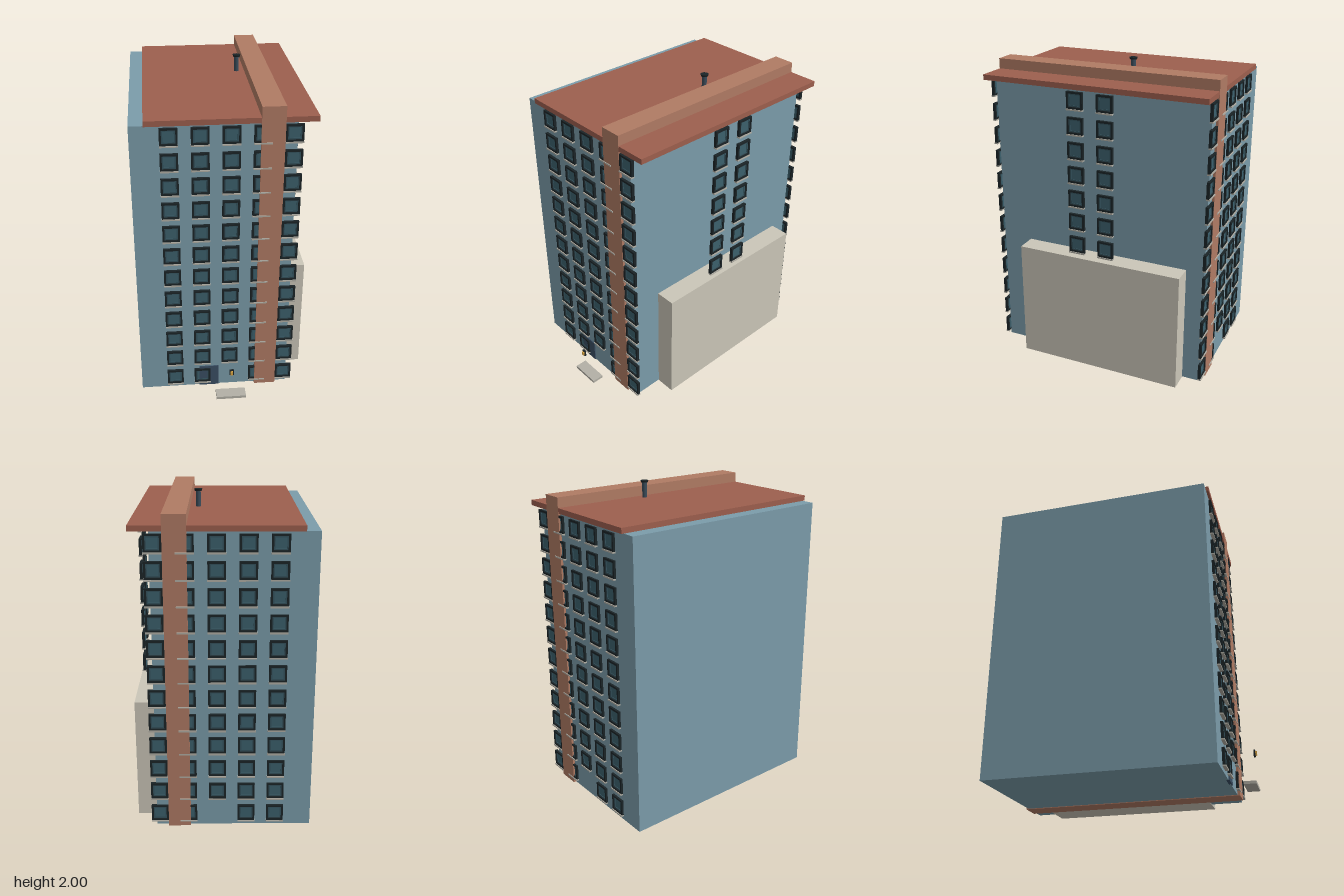
import * as THREE from 'three';

const mat = (color) => new THREE.MeshStandardMaterial({ color });
const M = {
  wall: mat(0x7b9caa), roof: mat(0x9d5f4e), band: mat(0xb07b64), annex: mat(0xcbc6b8),
  frame: mat(0x1b2427), sash: mat(0x35535e), glass: mat(0x3c616d), sill: mat(0xb3b0a6),
  door: mat(0x3a4e63), lamp: mat(0xd9a441), pipe: mat(0x3a4c5a),
};

// Box given by its two opposite corners
function box(name, material, [x0, y0, z0], [x1, y1, z1]) {
  const mesh = new THREE.Mesh(new THREE.BoxGeometry(x1 - x0, y1 - y0, z1 - z0), material);
  mesh.position.set((x0 + x1) / 2, (y0 + y1) / 2, (z0 + z1) / 2);
  mesh.name = name;
  return mesh;
}

// Rectangular ring with its back on z = 0
function ringGeometry(outer, inner, depth) {
  const rect = (T, s) => new T([[-s, -s], [s, -s], [s, s], [-s, s]].map((p) => new THREE.Vector2(...p)));
  const shape = rect(THREE.Shape, outer / 2);
  shape.holes.push(rect(THREE.Path, inner / 2));
  return new THREE.ExtrudeGeometry(shape, { depth, bevelEnabled: false });
}

const frameGeo = ringGeometry(0.104, 0.08, 0.018);
const sashGeo = ringGeometry(0.08, 0.064, 0.012);

// Window facing +z: frame, sash, pane and sill
function makeWindow() {
  const g = new THREE.Group();
  g.name = 'window';
  const frame = new THREE.Mesh(frameGeo, M.frame);
  frame.name = 'windowFrame';
  const sash = new THREE.Mesh(sashGeo, M.sash);
  sash.name = 'windowSash';
  g.add(frame, sash,
    box('windowPane', M.glass, [-0.033, -0.033, 0], [0.033, 0.033, 0.008]),
    box('windowSill', M.sill, [-0.053, -0.061, 0], [0.053, -0.052, 0.023]));
  return g;
}

export function createModel() {
  const model = new THREE.Group();
  model.name = 'apartmentBlock';

  // Main masses
  model.add(
    box('building', M.wall, [-0.54, 0.004, -0.775], [0.41, 1.86, 0.633]),
    box('roofSlab', M.roof, [-0.457, 1.86, -0.789], [0.526, 1.893, 0.649]),
    box('stairBand', M.band, [0.2, 0, -0.79], [0.337, 1.957, 0.65]),
    box('sideAnnex', M.annex, [0.33, 0.001, -0.657], [0.538, 0.78, 0.435]));

  // Windows: front and back grids, with the entrance bay left open at ground level
  const rowY = (r) => 0.09 + r * 0.155;
  for (let c = 0; c < 5; c++) {
    for (let r = 0; r < 12; r++) {
      if (c === 2 && r === 0) continue;
      const x = -0.32 + c * 0.1775;
      const front = makeWindow();
      front.position.set(x, rowY(r), 0.631);
      const back = makeWindow();
      back.position.set(x, rowY(r), -0.771);
      back.rotation.y = Math.PI;
      model.add(front, back);
    }
  }
  // Two columns of side windows above the annex
  for (const z of [0.032, -0.162]) {
    for (let r = 5; r < 12; r++) {
      const side = makeWindow();
      side.position.set(0.507, rowY(r), z);
      side.rotation.y = Math.PI / 2;
      model.add(side);
    }
  }

  // Entrance: door, step and lamp
  model.add(
    box('door', M.door, [-0.163, 0.004, 0.62], [-0.036, 0.157, 0.64]),
    box('entranceStep', M.sill, [-0.062, 0, 0.707], [0.13, 0.018, 0.784]));
  const lamp = new THREE.Group();
  lamp.name = 'entranceLamp';
  lamp.add(
    box('lampBack', M.frame, [0.02, 0.192, 0.77], [0.048, 0.232, 0.78]),
    box('lampGlow', M.lamp, [0.026, 0.199, 0.778], [0.042, 0.224, 0.79]));
  model.add(lamp);

  // Vent pipe on the roof
  const pipe = new THREE.Mesh(new THREE.CylinderGeometry(0.015, 0.015, 0.105, 16), M.pipe);
  pipe.name = 'ventPipe';
  pipe.position.set(0.15, 1.94, -0.185);
  const cap = new THREE.Mesh(new THREE.CylinderGeometry(0.025, 0.022, 0.012, 16), M.frame);
  cap.name = 'ventCap';
  cap.position.set(0.15, 1.994, -0.185);
  model.add(pipe, cap);

  return model;
}
